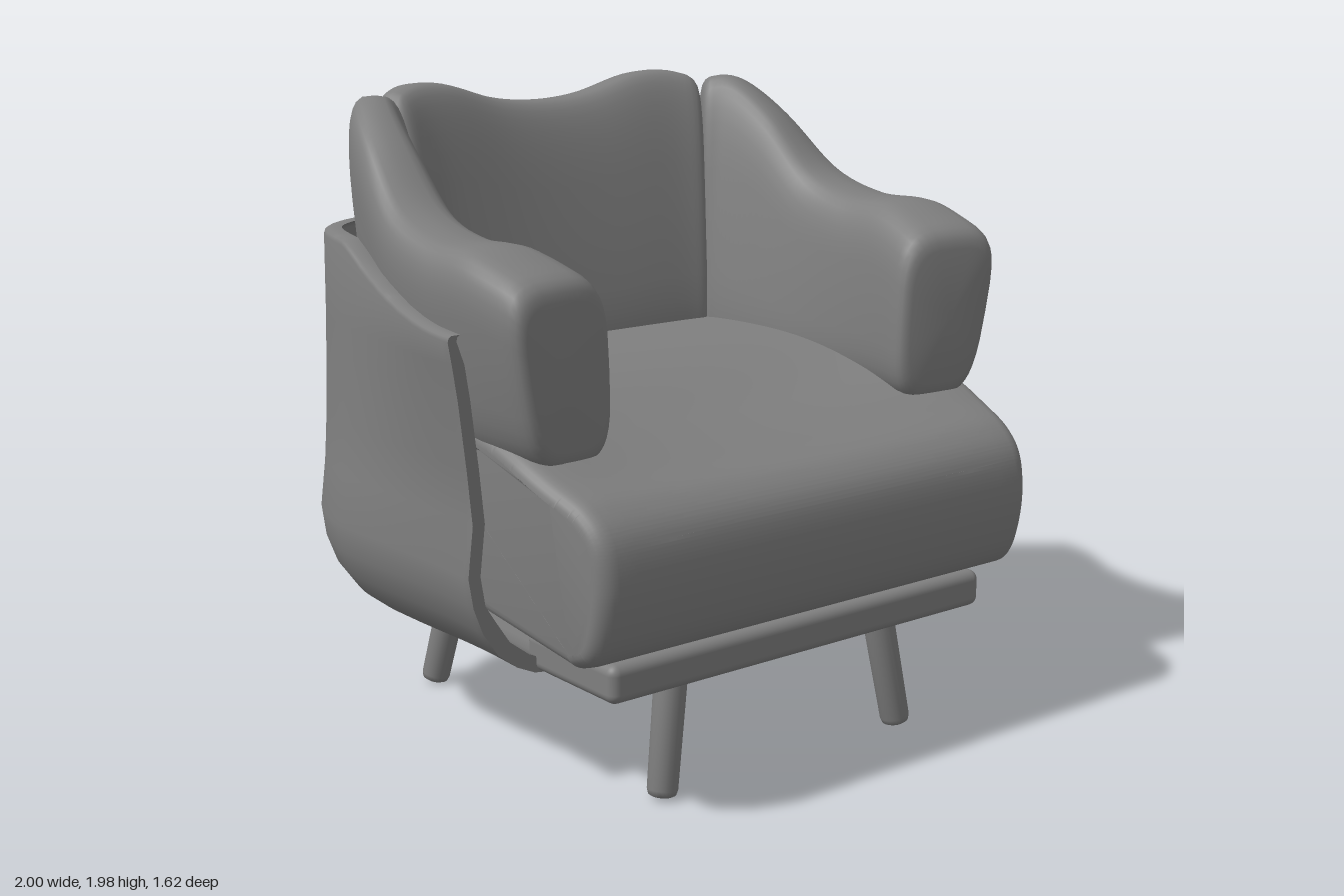
import * as THREE from 'three';
import { mergeVertices, toCreasedNormals } from 'three/addons/utils/BufferGeometryUtils.js';
import { RoundedBoxGeometry } from 'three/addons/geometries/RoundedBoxGeometry.js';

const material = new THREE.MeshStandardMaterial({ color: 0x7f7f7f });
const V = (x, y, z) => new THREE.Vector3(x, y, z);
const { lerp, smoothstep } = THREE.MathUtils;
const spline = (points) => new THREE.CatmullRomCurve3(points, false, 'catmullrom');

function addMesh(parent, name, geometry) {
  const mesh = new THREE.Mesh(geometry, material);
  mesh.name = name;
  parent.add(mesh);
  return mesh;
}

// Closed solid from points and triangles, turned outward by its signed volume
function solid(points, faces, crease) {
  let volume = 0;
  const cross = V(0, 0, 0);
  for (const [a, b, c] of faces) volume += points[a].dot(cross.crossVectors(points[b], points[c]));
  const index = faces.flatMap(([a, b, c]) => (volume < 0 ? [a, c, b] : [a, b, c]));
  const geometry = new THREE.BufferGeometry().setFromPoints(points);
  geometry.setIndex(index);
  return toCreasedNormals(geometry, crease);
}

// Padded roll: each station is [innerX, innerZ, outerX, outerZ, topY, lean]
function padGeometry(stations, bottom, taper, steps) {
  const inner = spline(stations.map((s) => V(s[0], s[4], s[1])));
  const outer = spline(stations.map((s) => V(s[2], s[5], s[3])));
  const sides = 36;
  const params = [0, 0.004, 0.012, 0.025, 0.045];
  const scales = [0.8, 0.89, 0.95, 0.985, 1];
  const rows = params.map((u, i) => [u, scales[i]]);
  for (let i = 1; i < steps; i++) rows.push([lerp(0.045, 0.955, i / steps), 1]);
  for (let i = 4; i >= 0; i--) rows.push([1 - params[i], scales[i]]);

  const points = [], faces = [], centres = [];
  const soft = (v) => 0.5 + 0.5 * Math.sign(v) * Math.abs(v) ** 0.55;
  rows.forEach(([u, scale]) => {
    const p = inner.getPoint(u), q = outer.getPoint(u);
    const centre = V((p.x + q.x) / 2, (bottom + p.y) / 2, (p.z + q.z) / 2);
    centres.push(centre);
    for (let k = 0; k < sides; k++) {
      const angle = (k / sides) * Math.PI * 2;
      const h = soft(Math.sin(angle));
      const a = lerp(q.y * h, 1 - taper * (1 - h), soft(Math.cos(angle)));
      const point = V(lerp(p.x, q.x, a), lerp(bottom, p.y, h), lerp(p.z, q.z, a));
      points.push(point.lerp(centre, 1 - scale));
    }
  });
  const last = (rows.length - 1) * sides;
  const capA = points.push(centres[0]) - 1;
  const capB = points.push(centres[rows.length - 1]) - 1;
  for (let k = 0; k < sides; k++) {
    const n = (k + 1) % sides;
    for (let r = 0; r < last; r += sides) {
      faces.push([r + k, r + n, r + sides + n], [r + k, r + sides + n, r + sides + k]);
    }
    faces.push([capA, n, k], [capB, last + k, last + n]);
  }
  return solid(points, faces, 1.1);
}

// Thin tub around the sides, back and underside
function shellGeometry() {
  const half = [[1, 0.345], [0.988, 0.1], [0.975, -0.2], [0.955, -0.42], [0.875, -0.62], [0.7, -0.75], [0.45, -0.807]];
  const plan = spline([
    ...half.map(([x, z]) => V(x, 0, z)), V(0, 0, -0.815),
    ...half.map(([x, z]) => V(-x, 0, z)).reverse(),
  ]);
  // Rows: [inset at front of sides, inset at rear of sides, inset at back, height or drop below rim]
  const body = [
    [0.32, 0.28, 0.235, 0.36], [0.27, 0.23, 0.185, 0.367], [0.21, 0.17, 0.13, 0.395], [0.145, 0.105, 0.075, 0.445],
    [0.095, 0.05, 0.035, 0.52], [0.065, 0.02, 0.01, 0.6], [0.05, 0.008, 0, 0.69], [0.068, 0.03, 0.004, 0.84],
    [0.052, 0.04, 0.014, 1], [0.028, 0.045, 0.022, 1.2], [0.012, 0.047, 0.026, 1.3],
  ];
  const lip = [[0, 0.05, 0.028, -0.018], [0.003, 0.054, 0.031, -0.006], [0.012, 0.063, 0.04, 0]];
  const profile = [...body, ...lip];
  const rim = spline([[0.345, 1.385], [0.2, 1.395], [0, 1.43], [-0.2, 1.49], [-0.34, 1.55], [-0.45, 1.56], [-0.82, 1.56]]
    .map(([z, y]) => V(z, y, 0))).getPoints(120);
  const rimHeight = (z) => rim.reduce((best, p) => (Math.abs(p.x - z) < Math.abs(best.x - z) ? p : best)).y;
  const segments = 112;
  const points = [], faces = [];
  for (let i = 0; i <= segments; i++) {
    const p = plan.getPointAt(i / segments), t = plan.getTangentAt(i / segments);
    const nz = Math.abs(t.x) < 0.1 ? 0 : Math.abs(t.x);
    const nx = Math.sqrt(1 - nz * nz);
    const rear = smoothstep(-p.z, -0.25, 0.4);
    const top = rimHeight(p.z);
    const wall = 0.04 + 0.02 * rear;
    const place = ([front, side, back, y], inward) => {
      const d = lerp(back, lerp(front, side, rear), nx * nx) + inward;
      const height = y <= 0 ? top + y : y + (y < 0.55 ? inward * 0.8 : 0);
      return V(p.x - nx * d * Math.sign(p.x), height, p.z + nz * d);
    };
    const outside = profile.map((row) => place(row, 0));
    const inside = profile.map((row, j) => place(row, j < body.length ? wall : wall * 0.7)).reverse();
    const end = inside[inside.length - 1];
    points.push(V(0, 0.36, outside[0].z), ...outside, ...inside, V(0, end.y, end.z));
  }
  const m = profile.length * 2 + 2;
  for (let i = 0; i < segments; i++) {
    for (let j = 0; j < m; j++) {
      const a = i * m + j, b = i * m + ((j + 1) % m);
      faces.push([a, b, b + m], [a, b + m, a + m]);
    }
  }
  // Front edges of the wall
  for (let j = 0; j < m / 2 - 1; j++) {
    const k = m - 1 - j, e = segments * m;
    faces.push([j, k, k - 1], [j, k - 1, j + 1]);
    faces.push([e + j, e + k - 1, e + k], [e + j, e + j + 1, e + k - 1]);
  }
  return solid(points, faces, 0.8);
}

// Seat cushion: side profile extruded across, sagging in the middle
function seatGeometry() {
  const shape = new THREE.Shape();
  shape.moveTo(-0.58, 0.5);
  shape.lineTo(0.68, 0.49);
  shape.splineThru([[0.745, 0.52], [0.785, 0.6], [0.806, 0.73], [0.787, 0.86], [0.72, 0.94], [0.6, 0.995],
    [0.35, 1.085], [0, 1.135], [-0.4, 1.15], [-0.58, 1.12]].map(([z, y]) => new THREE.Vector2(z, y)));
  const bevel = 0.06, width = 1.74;
  const geometry = new THREE.ExtrudeGeometry(shape, {
    depth: width - bevel * 2, steps: 24, curveSegments: 48,
    bevelThickness: bevel, bevelSize: 0.045, bevelOffset: -0.045, bevelSegments: 6,
  });
  geometry.translate(0, 0, bevel - width / 2);
  geometry.rotateY(-Math.PI / 2);
  const pos = geometry.attributes.position;
  for (let i = 0; i < pos.count; i++) {
    const x = pos.getX(i), y = pos.getY(i), z = pos.getZ(i);
    const sag = 0.055 * Math.max(0, 1 - (x / 0.75) ** 2) * Math.exp(-(((z - 0.35) / 0.28) ** 2));
    if (y > 0.85) pos.setY(i, y - sag);
    // Narrower at the rear, and slightly toward the front edge
    pos.setX(i, x * (1 - 0.22 * smoothstep(-z, -0.1, 0.55)) * (1 - 0.05 * smoothstep(z, 0.45, 0.82)));
  }
  geometry.deleteAttribute('normal');
  geometry.deleteAttribute('uv');
  return toCreasedNormals(mergeVertices(geometry, 1e-4), 0.9);
}

export function createModel() {
  const chair = new THREE.Group();
  chair.name = 'armchair';

  addMesh(chair, 'shell', shellGeometry());
  addMesh(chair, 'seatCushion', seatGeometry());

  const base = addMesh(chair, 'baseRail', new RoundedBoxGeometry(1.45, 0.115, 0.42, 4, 0.03));
  base.position.set(0, 0.424, 0.5);

  // Back cushion with raised shoulders, mitred against the arms
  const backHalf = [
    [0.51, -0.37, 0.655, -0.64, 1.945, 0.52], [0.43, -0.37, 0.53, -0.71, 1.975, 0.52],
    [0.32, -0.37, 0.38, -0.738, 1.968, 0.53], [0.16, -0.37, 0.18, -0.75, 1.915, 0.53],
  ];
  const mirrorX = (s, side) => [s[0] * side, s[1], s[2] * side, ...s.slice(3)];
  const back = [...backHalf, [0, -0.37, 0, -0.755, 1.9, 0.53], ...backHalf.map((s) => mirrorX(s, -1)).reverse()];
  addMesh(chair, 'backCushion', padGeometry(back, 1.0, 0, 40));

  // Arms sweeping up toward the back
  const arm = [
    [0.54, 0.5, 0.945, 0.56, 1.53, 0.06], [0.58, 0.3, 0.97, 0.31, 1.6, 0.08],
    [0.588, 0.1, 0.95, 0.08, 1.605, 0.14], [0.568, -0.08, 0.925, -0.15, 1.67, 0.25],
    [0.535, -0.24, 0.87, -0.37, 1.845, 0.38], [0.51, -0.345, 0.795, -0.55, 1.95, 0.45],
    [0.505, -0.385, 0.675, -0.65, 1.945, 0.48],
  ];
  for (const [name, side] of [['left', 1], ['right', -1]]) {
    addMesh(chair, name + 'Arm', padGeometry(arm.map((s) => mirrorX(s, side)), 1.0, 0.24, 36));

    // Splayed legs with rounded feet
    for (const [end, footZ, topZ] of [['Front', 0.605, 0.57], ['Back', -0.62, -0.555]]) {
      const foot = V(0.47 * side, 0.005, footZ), top = V(0.405 * side, 0.4, topZ);
      const length = foot.distanceTo(top);
      const outline = [[0, 0], [0.03, 0], [0.041, 0.006], [0.046, 0.022], [0.05, length], [0, length]];
      const leg = addMesh(chair, name + end + 'Leg', toCreasedNormals(
        new THREE.LatheGeometry(outline.map(([r, y]) => new THREE.Vector2(r, y)), 24), 0.9));
      leg.position.copy(foot);
      leg.quaternion.setFromUnitVectors(V(0, 1, 0), top.clone().sub(foot).normalize());
    }
  }
  return chair;
}
